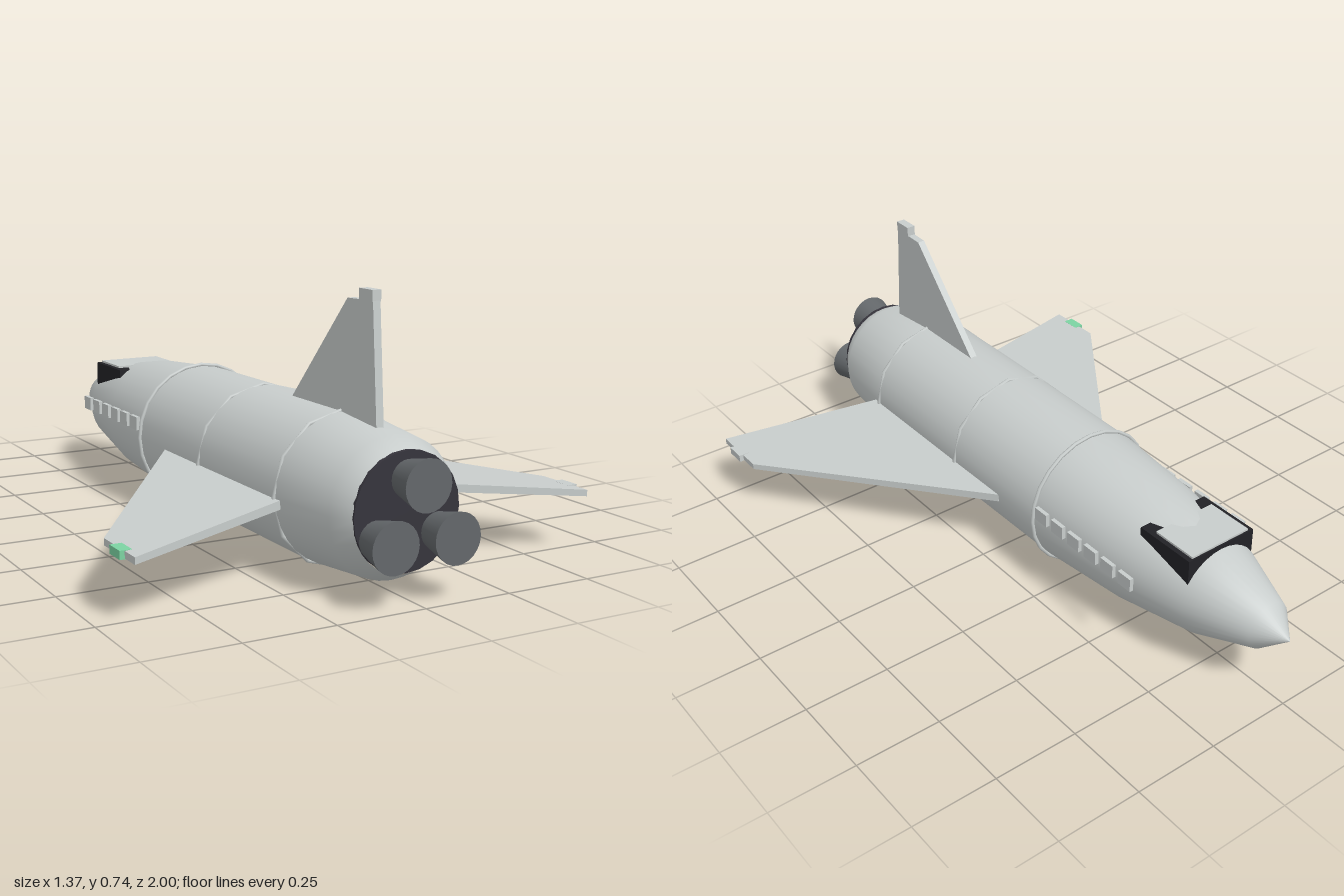
import * as THREE from 'three';

const AXIS_Y = 0.216; // height of the fuselage axis

function material(name, color, double = false) {
  const m = new THREE.MeshStandardMaterial({ color });
  m.name = name;
  if (double) m.side = THREE.DoubleSide;
  return m;
}

export function createModel() {
  const model = new THREE.Group();
  model.name = 'spaceShuttle';
  const hull = material('hullGrey', 0xc8cdcc);
  const dark = material('darkTrim', 0x36343c);
  const glass = material('cockpitBlack', 0x222226);
  const metal = material('engineGrey', 0x63676a, true);
  const green = material('lightGreen', 0x7cd3a2);

  const add = (name, geometry, mat, x = 0, y = 0, z = 0) => {
    const mesh = new THREE.Mesh(geometry, mat);
    mesh.name = name;
    mesh.position.set(x, y, z);
    model.add(mesh);
    return mesh;
  };
  const box = (name, mat, size, pos) => add(name, new THREE.BoxGeometry(...size), mat, ...pos);

  // Fuselage: profile of [radius, z] turned around the z axis
  const profile = [[0, -1], [0.07, -0.92], [0.135, -0.74], [0.18, -0.48], [0.204, -0.19],
    [0.206, 0.2], [0.206, 0.62], [0.185, 0.85], [0.153, 0.91]];
  const body = new THREE.LatheGeometry(profile.map(p => new THREE.Vector2(...p)), 32);
  body.rotateX(Math.PI / 2);
  add('fuselage', body, hull, 0, AXIS_Y, 0);

  // Panel seams, partly sunk into the hull
  for (const [z, sides] of [[-0.19, 24], [0.2, 12], [0.625, 12]]) {
    add('seamRing', new THREE.TorusGeometry(0.208, 0.006, 6, sides), hull, 0, AXIS_Y, z);
  }

  // Engine bulkhead and three flared nozzles
  const bulkhead = new THREE.CylinderGeometry(0.154, 0.154, 0.012, 24);
  bulkhead.rotateX(Math.PI / 2);
  add('bulkhead', bulkhead, dark, 0, AXIS_Y + 0.004, 0.908);
  for (const [x, y] of [[0, 0.304], [-0.09, 0.163], [0.09, 0.163]]) {
    const nozzle = new THREE.CylinderGeometry(0.067, 0.045, 0.1, 24);
    nozzle.rotateX(Math.PI / 2);
    add('engineNozzle', nozzle, metal, x, y, 0.95);
  }

  for (const side of [-1, 1]) {
    const sideName = side > 0 ? 'left' : 'right';

    // Swept wing, drooping and thinning towards the tip
    const plan = [[0.15, -0.02], [0.205, -0.02], [0.67, 0.62], [0.67, 0.8], [0.205, 0.65], [0.15, 0.635]];
    const shape = new THREE.Shape(plan.map(([x, z]) => new THREE.Vector2(side * x, z)));
    const wing = new THREE.ExtrudeGeometry(shape, { depth: 1, bevelEnabled: false });
    wing.rotateX(Math.PI / 2);
    const p = wing.attributes.position;
    for (let i = 0; i < p.count; i++) {
      const t = (Math.abs(p.getX(i)) - 0.2) / 0.47;
      const top = 0.213 - 0.042 * t;
      p.setY(i, p.getY(i) > -0.5 ? top : top - 0.024 + 0.006 * t);
    }
    wing.computeVertexNormals();
    add(sideName + 'Wing', wing, hull);

    // Wingtip light
    box(sideName + 'WingtipLight', side < 0 ? green : hull, [0.032, 0.022, 0.06], [side * 0.667, 0.162, 0.713]);

    // Row of raised cabin windows
    for (let i = 0; i < 6; i++) {
      box(sideName + 'CabinWindow', hull, [0.012, 0.04, 0.05], [side * 0.205, 0.256, -0.232 - i * 0.072]);
    }
  }

  // Tail fin with a tip block
  const finSide = [[0.34, 0.38], [0.38, 0.42], [0.65, 0.715], [0.765, 0.718], [0.79, 0.4]];
  const fin = new THREE.ExtrudeGeometry(new THREE.Shape(finSide.map(v => new THREE.Vector2(...v))),
    { depth: 0.022, bevelEnabled: false });
  fin.rotateY(-Math.PI / 2);
  add('tailFin', fin, hull, 0.011, 0, 0);
  box('finTip', hull, [0.026, 0.03, 0.06], [0, 0.73, 0.735]);

  // Cockpit canopy with a pale roof panel
  box('cockpitGlass', glass, [0.23, 0.112, 0.19], [0, 0.307, -0.64]);
  box('cockpitRoof', hull, [0.2, 0.008, 0.14], [0, 0.365, -0.66]);

  return model;
}
